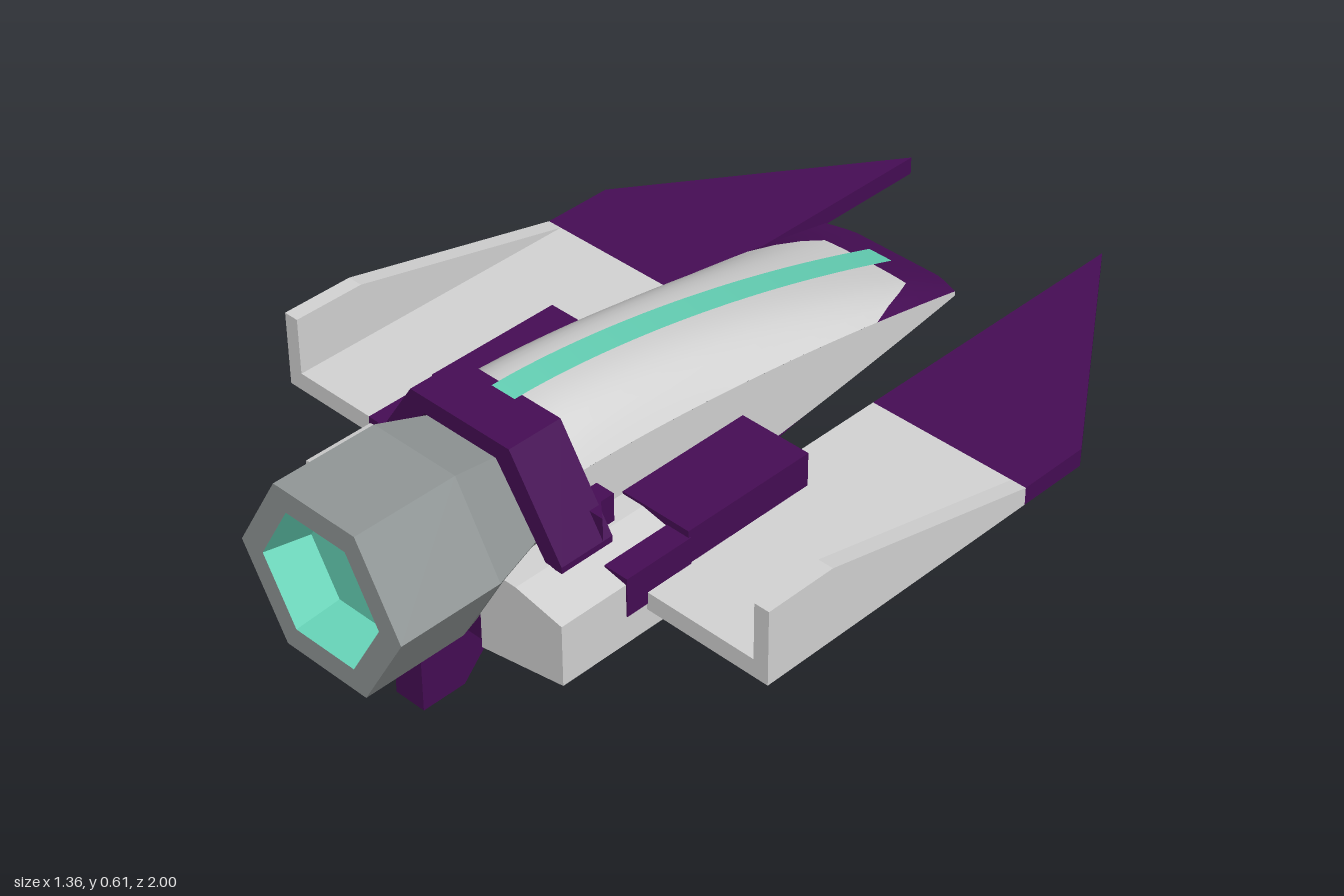
import * as THREE from 'three';

const mat = (name, color, side = THREE.FrontSide) => {
  const m = new THREE.MeshStandardMaterial({ color, side });
  m.name = name;
  return m;
};

export function createModel() {
  const group = new THREE.Group();
  const purple = mat('purple', 0x460d55);
  const light = mat('lightGrey', 0xd4d4d4);
  const grey = mat('engineGrey', 0x929898);
  const teal = mat('teal', 0x66d4b8, THREE.DoubleSide);

  const add = (name, geo, material) => {
    const mesh = new THREE.Mesh(geo, material);
    mesh.name = name;
    group.add(mesh);
  };
  const flat = (geo) => {
    const g = geo.index ? geo.toNonIndexed() : geo;
    g.computeVertexNormals();
    return g;
  };
  const extrude = (pts, depth) => new THREE.ExtrudeGeometry(
    new THREE.Shape(pts.map(([a, b]) => new THREE.Vector2(a, b))), { depth, bevelEnabled: false });
  // Profiles drawn in xy, in plan (xz) and from the side (zy)
  const prism = (pts, z0, z1) => extrude(pts, z1 - z0).translate(0, 0, z0);
  const plan = (pts, y0, y1) => extrude(pts.map(([x, z]) => [x, -z]), y1 - y0).rotateX(-Math.PI / 2).translate(0, y0, 0);
  const side = (pts, x0, x1) => extrude(pts, x1 - x0).rotateY(-Math.PI / 2).translate(x1, 0, 0);
  const box = (x0, x1, y0, y1, z0, z1) => new THREE.BoxGeometry(Math.abs(x1 - x0), y1 - y0, z1 - z0)
    .translate((x0 + x1) / 2, (y0 + y1) / 2, (z0 + z1) / 2);

  // Grid surface from a rule f(u, v) -> [x, y, z]
  const patch = (f, nu, nv) => {
    const pos = [], idx = [];
    for (let j = 0; j <= nv; j++) for (let i = 0; i <= nu; i++) pos.push(...f(i / nu, j / nv));
    for (let j = 0; j < nv; j++) for (let i = 0; i < nu; i++) {
      const a = j * (nu + 1) + i, c = a + nu + 1;
      idx.push(a, a + 1, c, a + 1, c + 1, c);
    }
    const g = new THREE.BufferGeometry();
    g.setAttribute('position', new THREE.Float32BufferAttribute(pos, 3));
    g.setIndex(idx);
    g.computeVertexNormals();
    return g;
  };

  // Fuselage curves, running from the engine end to the pointed nose
  const W = 0.185, zStart = 0.5, zTip = -0.635;
  const lerp = THREE.MathUtils.lerp;
  const fade = (z) => 1 - Math.pow(Math.max(0, Math.min(1, (zStart - z) / (zStart - zTip))), 1.65);
  const topY = (z) => 0.36 + 0.245 * fade(z);
  const shoulderY = (z) => 0.36 + 0.145 * fade(z);
  const seamY = (z) => 0.358 - 0.11 * fade(z);
  const keelY = (z) => 0.358 - 0.228 * fade(z);
  const roofY = (x, z) => lerp(topY(z), shoulderY(z), Math.pow(Math.abs(x) / W, 3));
  const ramp = (x) => Math.max(0, (Math.abs(x) - 0.12) / (W - 0.12));
  const paintZ = (x) => -0.53 + 0.17 * ramp(x);
  const endZ = (x) => zTip + 0.025 * ramp(x);

  add('canopy', patch((u, v) => {
    const x = lerp(-W, W, u), z = lerp(zStart, paintZ(x), v);
    return [x, roofY(x, z), z];
  }, 16, 20), light);
  add('noseCap', patch((u, v) => {
    const x = lerp(-W, W, u), z = lerp(paintZ(x), endZ(x), v);
    return [x, roofY(x, z), z];
  }, 16, 6), purple);
  add('spineStripe', patch((u, v) => {
    const z = lerp(0.52, -0.58, v);
    return [lerp(-0.032, 0.032, u), topY(z) + 0.006, z];
  }, 1, 24), teal);

  // Lower hull with chamfered edges
  const hullX = [W, W, 0.11, -0.11, -W, -W];
  const hullY = (i, z) => {
    const k = Math.min(i, 5 - i);
    return k === 0 ? seamY(z) : k === 1 ? Math.min(keelY(z) + 0.075, seamY(z)) : keelY(z);
  };
  add('lowerHull', flat(patch((u, v) => {
    const i = Math.round(u * 5), z = lerp(zStart, endZ(hullX[i]), v);
    return [hullX[i], hullY(i, z), z];
  }, 5, 20)), purple);
  const bulk = [...hullX.map((x, i) => [x, hullY(i, zStart)]), [-W, 0.5], [-0.12, 0.59], [0.12, 0.59], [W, 0.5]];
  add('bulkhead', prism(bulk, 0.49, 0.5), purple);

  // Six-sided engine with a recessed glowing nozzle
  const hexLathe = (pts) => flat(new THREE.LatheGeometry(
    pts.map(([r, z]) => new THREE.Vector2(r, z)), 6, Math.PI / 6, Math.PI * 2)
    .rotateX(Math.PI / 2).translate(0, 0.404, 0));
  add('engine', hexLathe([[0, 0.5], [0.18, 0.5], [0.185, 0.62], [0.21, 0.75], [0.21, 1], [0.165, 1]]
    .map(([r, z]) => [r === 0.21 ? 0.226 : r, z])), grey);
  add('nozzle', hexLathe([[0.165, 1], [0.14, 0.9], [0, 0.9]]), teal);

  // Half-hexagon collar over the engine joint
  add('collar', prism([[0.272, 0.385], [0.272, 0.4], [0.137, 0.61], [-0.137, 0.61], [-0.272, 0.4],
    [-0.272, 0.385], [-0.23, 0.385], [-0.1, 0.57], [0.1, 0.57], [0.23, 0.385]], 0.5, 0.635), purple);

  // Landing skid and its mount
  add('skidMount', box(-0.137, 0.137, 0.177, 0.27, 0.45, 0.71), purple);
  add('skid', side([[0.8, 0], [0.8, 0.172], [0.72, 0.235], [0.5, 0.235], [0.53, 0.172], [0.69, 0]], -0.04, 0.04), purple);

  for (const s of [1, -1]) {
    const label = s > 0 ? 'left' : 'right';
    const mir = (pts) => pts.map(([x, y]) => [s * x, y]);
    // Fuselage side wall
    add(label + 'HullSide', patch((u, v) => {
      const z = s > 0 ? lerp(endZ(W), zStart, v) : lerp(zStart, endZ(W), v);
      return [s * W, lerp(seamY(z), shoulderY(z), u), z];
    }, 1, 20), light);
    add(label + 'CollarFoot', plan(mir([[0.18, 0.455], [0.232, 0.455], [0.232, 0.49], [0.272, 0.525], [0.18, 0.525]]),
      0.385, 0.455), purple);
    // Pod beside the engine and the purple block joining it to the wing
    add(label + 'Pod', prism(mir([[0.137, 0.177], [0.363, 0.217], [0.363, 0.363], [0.24, 0.388], [0.137, 0.388]]),
      0.38, 0.725), light);
    add(label + 'WingRoot', prism(mir([[0.14, 0.214], [0.363, 0.214], [0.363, 0.394], [0.14, 0.394]]), 0.045, 0.385), purple);
    add(label + 'PodStrip', box(s * 0.305, s * 0.366, 0.285, 0.378, 0.38, 0.555), purple);
    // Wing, swept tip and upright winglet
    add(label + 'Wing', box(s * 0.275, s * 0.68, 0.27, 0.313, -0.25, 0.5), light);
    add(label + 'WingTip', plan(mir([[0.275, -0.25], [0.68, -0.25], [0.68, -0.425], [0.275, -1]]), 0.27, 0.313), purple);
    const wx = s > 0 ? 0.643 : -0.68;
    add(label + 'Winglet', side([[0.5, 0.27], [0.5, 0.45], [0.325, 0.45], [-0.25, 0.313], [-0.25, 0.27]], wx, wx + 0.037), light);
  }
  return group;
}
